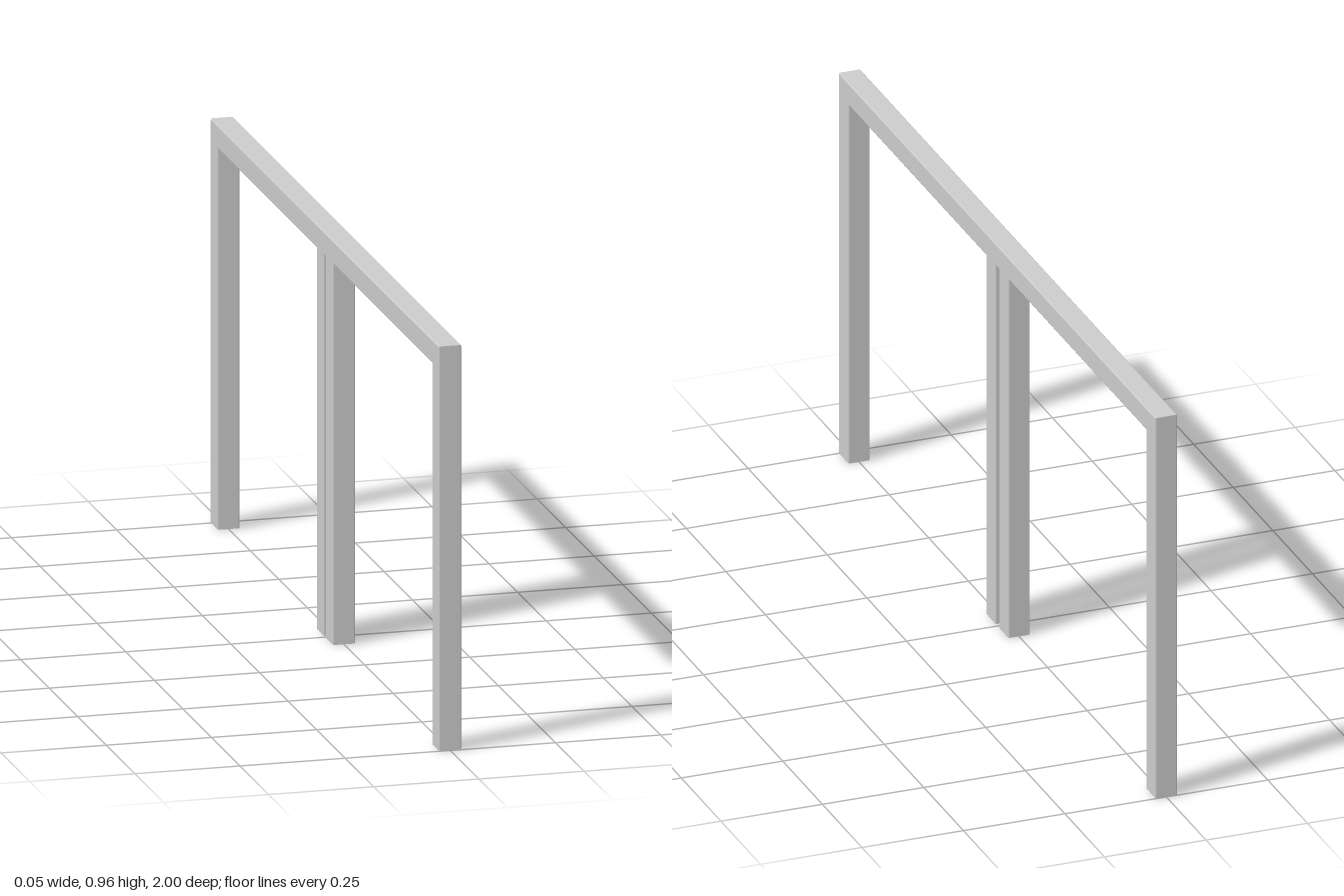
import * as THREE from 'three';

const HEIGHT = 0.965, UNDERSIDE = 0.91, WIDTH = 0.054, BEVEL = 0.003;

export function createModel() {
  const model = new THREE.Group();
  model.name = 'doubleTableFrame';

  // Half outline: inner leg beside the narrow gap, open bay, outer leg, top rail
  const half = [
    [0.011, UNDERSIDE], [0.011, 0], [0.07, 0], [0.07, UNDERSIDE],
    [0.94, UNDERSIDE], [0.94, 0], [1, 0], [1, HEIGHT],
  ];
  const mirrored = half.map(([z, y]) => [-z, y]).reverse();
  const outline = new THREE.Shape([...half, ...mirrored].map(([z, y]) => new THREE.Vector2(z, y)));

  // One continuous frame of square bar with finely eased edges
  const geometry = new THREE.ExtrudeGeometry(outline, {
    depth: WIDTH - 2 * BEVEL,
    bevelEnabled: true,
    bevelThickness: BEVEL,
    bevelSize: BEVEL,
    bevelOffset: -BEVEL,
    bevelSegments: 2,
  });
  geometry.translate(0, 0, BEVEL - WIDTH / 2);
  geometry.rotateY(-Math.PI / 2);

  const frame = new THREE.Mesh(geometry, new THREE.MeshStandardMaterial({ color: 0xcccccc }));
  frame.name = 'railAndLegs';
  model.add(frame);
  return model;
}
